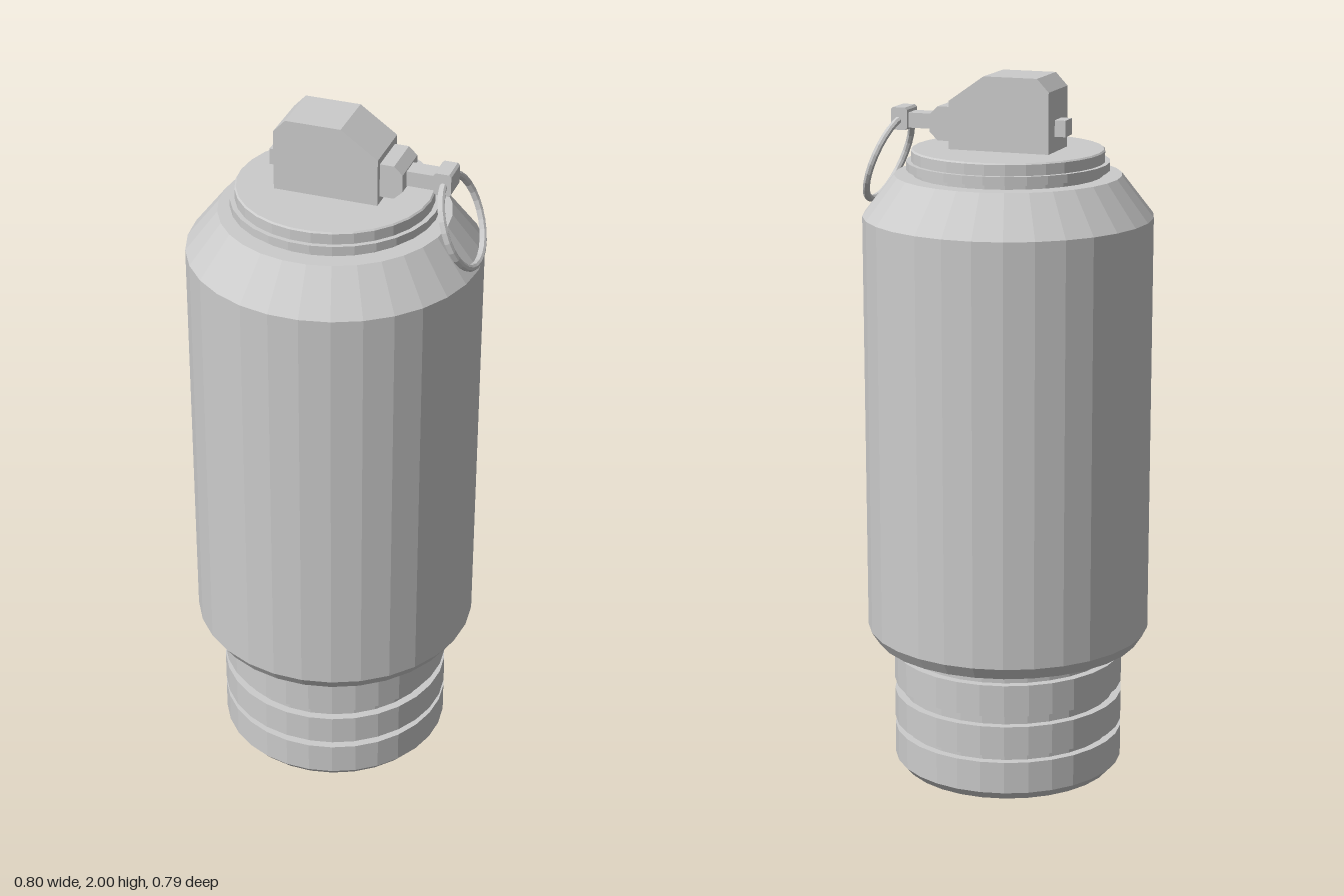
import * as THREE from 'three';

const material = new THREE.MeshStandardMaterial({ color: 0xcccccc, flatShading: true });
const SIDES = 30;

function add(group, name, geometry) {
  const mesh = new THREE.Mesh(geometry, material);
  mesh.name = name;
  group.add(mesh);
  return mesh;
}

// Turned part with flat facets facing front and back
function turned(group, name, profile) {
  const points = profile.map(([r, y]) => new THREE.Vector2(r, y));
  const mesh = add(group, name, new THREE.LatheGeometry(points, SIDES, Math.PI / SIDES));
  mesh.position.set(-0.004, 0, -0.002);
  return mesh;
}

// Side profile in x/y, extruded across z
function slab(group, name, outline, depth) {
  const shape = new THREE.Shape(outline.map(([x, y]) => new THREE.Vector2(x, y)));
  const geometry = new THREE.ExtrudeGeometry(shape, { depth, bevelEnabled: false });
  geometry.translate(0, 0, -depth / 2 - 0.002);
  return add(group, name, geometry);
}

function box(group, name, x0, x1, y0, y1, depth) {
  return slab(group, name, [[x0, y0], [x1, y0], [x1, y1], [x0, y1]], depth);
}

export function createModel() {
  const model = new THREE.Group();
  model.name = 'canister';

  // Base with a stepped foot, then two grooves between three bands
  const base = [[0, 0], [0.203, 0], [0.203, 0.018], [0.25, 0.02], [0.3, 0.04], [0.322, 0.065]];
  for (const [low, high] of [[0.155, 0.175], [0.26, 0.29]]) {
    base.push([0.322, low], [0.3, low], [0.3, high], [0.322, high]);
  }
  base.push([0.322, 0.38], [0.3, 0.38], [0.3, 0.43]);
  turned(model, 'groovedBase', base);

  // Main cylinder with chamfered bottom and sloping shoulder
  turned(model, 'body', [
    [0, 0.42], [0.372, 0.42], [0.395, 0.455], [0.395, 1.62], [0.308, 1.732], [0, 1.732],
  ]);

  // Stepped lid
  turned(model, 'lid', [
    [0.258, 1.73], [0.258, 1.745], [0.275, 1.745], [0.275, 1.768],
    [0.262, 1.768], [0.262, 1.797], [0.258, 1.801], [0, 1.801],
  ]);

  // Angular housing on the lid
  slab(model, 'housing', [
    [-0.145, 1.8], [0.138, 1.8], [0.138, 1.93], [0.038, 2], [-0.112, 2], [-0.145, 1.965],
  ], 0.154);
  box(model, 'pinStub', -0.175, -0.14, 1.842, 1.886, 0.054);

  // Pin: chamfered collar, rod and end block
  slab(model, 'collar', [
    [0.135, 1.82], [0.176, 1.82], [0.199, 1.842], [0.199, 1.89], [0.176, 1.912], [0.135, 1.912],
  ], 0.12);
  box(model, 'pinRod', 0.195, 0.28, 1.845, 1.886, 0.054);
  slab(model, 'pinEnd', [
    [0.274, 1.845], [0.28, 1.839], [0.315, 1.839], [0.321, 1.845],
    [0.321, 1.894], [0.315, 1.9], [0.28, 1.9], [0.274, 1.894],
  ], 0.074);

  // Pull ring hanging outward from the pin end
  const ring = add(model, 'pullRing', new THREE.TorusGeometry(0.123, 0.01, 8, 28));
  ring.rotation.set(0, Math.PI / 2, 0.375, 'ZYX');
  ring.position.set(0.343, 1.756, -0.002);

  return model;
}
